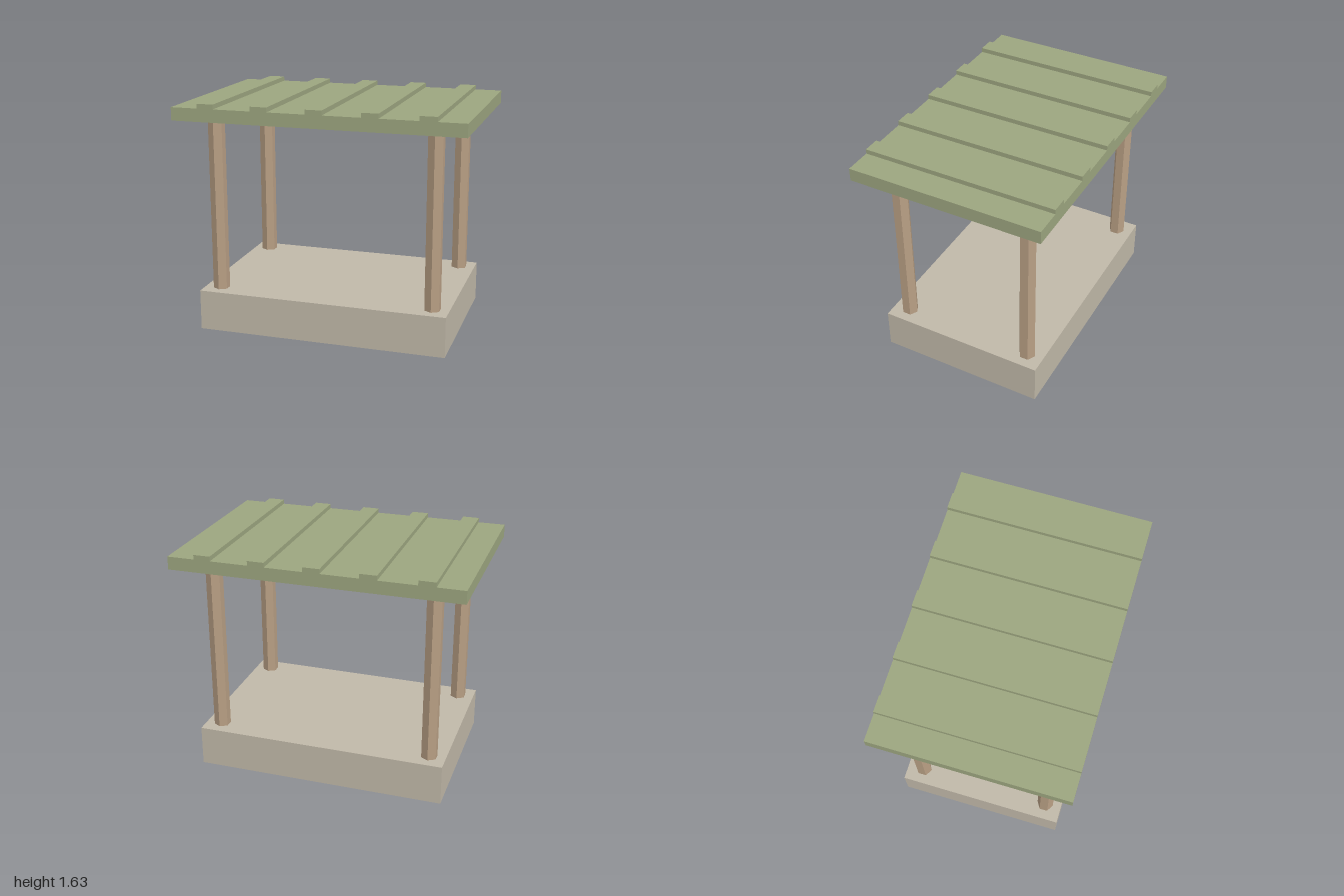
import * as THREE from 'three';

export function createModel() {
  const group = new THREE.Group();
  group.name = 'shelter';

  const material = (color) => new THREE.MeshStandardMaterial({ color, flatShading: true });
  const stone = material(0xc0b8a8);
  const wood = material(0xb89f84);
  const roofing = material(0x9ca57f);

  const add = (name, geometry, mat, x, y, z) => {
    const mesh = new THREE.Mesh(geometry, mat);
    mesh.name = name;
    mesh.position.set(x, y, z);
    group.add(mesh);
  };

  const baseTop = 0.285, roofBottom = 1.51, roofTop = 1.6, ridgeTop = 1.632;
  const roofDepth = 1.35;

  // Solid plinth
  add('base', new THREE.BoxGeometry(1.76, baseTop, 1.18), stone, 0, baseTop / 2, 0);

  // Four six-sided posts
  const postHeight = roofBottom - baseTop;
  const post = new THREE.CylinderGeometry(0.058, 0.058, postHeight, 6);
  for (const [side, x] of [['Left', 0.765], ['Right', -0.765]]) {
    for (const [end, z] of [['front', 0.471], ['back', -0.471]]) {
      add(`${end}${side}Post`, post, wood, x, baseTop + postHeight / 2, z);
    }
  }

  // Flat roof slab
  add('roof', new THREE.BoxGeometry(2, roofTop - roofBottom, roofDepth), roofing,
    0, (roofTop + roofBottom) / 2, 0);

  // Raised battens running front to back
  const batten = new THREE.BoxGeometry(0.115, ridgeTop - roofTop, roofDepth);
  for (let i = -2; i <= 2; i++) {
    add(`roofBatten${i + 3}`, batten, roofing, i * 0.3765, (ridgeTop + roofTop) / 2, 0);
  }

  return group;
}
